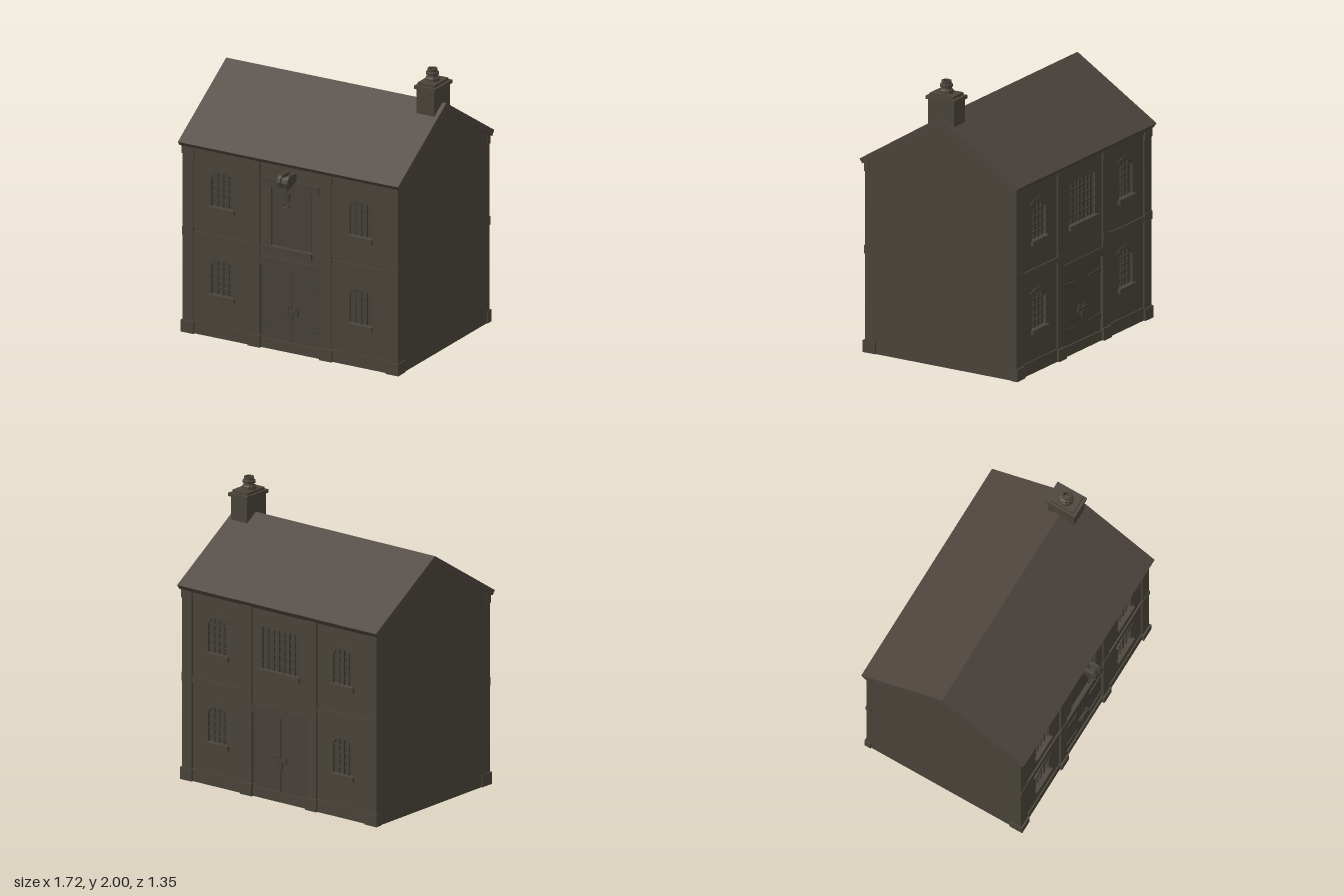
import * as THREE from 'three';

const mat = (name, color) => Object.assign(new THREE.MeshStandardMaterial({ color, flatShading: true }), { name });

export function createModel() {
  const wall = mat('wall stone', 0x4a443a);
  const roofMat = mat('roof slate', 0x4e453e);
  const wood = mat('wood', 0x48413a);
  const iron = mat('iron', 0x443f39);
  const glass = mat('glass', 0x46413a);
  const model = new THREE.Group();
  model.name = 'warehouse';

  const add = (parent, name, geo, material, x = 0, y = 0, z = 0) => {
    const m = new THREE.Mesh(geo, material);
    m.name = name;
    m.position.set(x, y, z);
    parent.add(m);
    return m;
  };
  // box given by its limits
  const box = (parent, name, material, x0, x1, y0, y1, z0, z1) =>
    add(parent, name, new THREE.BoxGeometry(x1 - x0, y1 - y0, z1 - z0), material, (x0 + x1) / 2, (y0 + y1) / 2, (z0 + z1) / 2);
  // side profile of [z, y] points drawn out along x
  const alongX = (name, pts, half, material) => {
    const s = new THREE.Shape(pts.map(([z, y]) => new THREE.Vector2(-z, y)));
    const g = new THREE.ExtrudeGeometry(s, { depth: 2 * half, bevelEnabled: false });
    g.rotateY(Math.PI / 2).translate(-half, 0, 0);
    return add(model, name, g, material);
  };

  // gabled body and roof
  alongX('body', [[0.53, 0], [0.53, 1.36], [-0.04, 1.73], [-0.605, 1.36], [-0.605, 0]], 0.842, wall);
  alongX('roof', [[0.6, 1.365], [-0.04, 1.765], [-0.672, 1.37], [-0.645, 1.335], [-0.04, 1.715], [0.575, 1.335]], 0.86, roofMat);

  // outline of a window with a low arched head
  const arch = (Type, w, y0, y1, rise) => {
    const p = new Type();
    p.moveTo(-w, y0);
    p.lineTo(w, y0);
    p.lineTo(w, y1 - rise);
    p.quadraticCurveTo(w * 0.75, y1, 0, y1);
    p.quadraticCurveTo(-w * 0.75, y1, -w, y1 - rise);
    p.closePath();
    return p;
  };
  const bars = (parent, w, y0, y1, nx, ny) => {
    for (let i = 1; i < nx; i++) {
      const x = -w + (2 * w * i) / nx;
      box(parent, 'windowBar', iron, x - 0.005, x + 0.005, y0, y1 - 0.01, 0.004, 0.016);
    }
    for (let j = 1; j < ny; j++) {
      const y = y0 + ((y1 - y0) * j) / ny;
      box(parent, 'windowBar', iron, -w, w, y - 0.005, y + 0.005, 0.004, 0.014);
    }
  };

  // one bay of wall with its two arched windows
  const sideBay = (parent, cx) => {
    const g = new THREE.Group();
    g.name = 'windowBay';
    g.position.x = cx;
    parent.add(g);
    const panel = new THREE.Shape([[-0.23, 0], [0.23, 0], [0.23, 1.36], [-0.23, 1.36]].map(p => new THREE.Vector2(...p)));
    for (const y of [0.3, 0.93]) {
      const top = y + 0.255;
      panel.holes.push(arch(THREE.Path, 0.085, y, top, 0.045));
      add(g, 'windowGlass', new THREE.ShapeGeometry(arch(THREE.Shape, 0.085, y, top, 0.045)), glass, 0, 0, 0.003);
      bars(g, 0.085, y, top, 4, 5);
      box(g, 'windowSill', wall, -0.1, 0.1, y - 0.03, y + 0.005, 0, 0.047);
      // brick arch over the window
      const band = new THREE.Shape();
      band.moveTo(-0.1, top - 0.025);
      band.quadraticCurveTo(0, top + 0.03, 0.1, top - 0.025);
      band.lineTo(0.11, top + 0.01);
      band.quadraticCurveTo(0, top + 0.07, -0.11, top + 0.01);
      add(g, 'windowArch', new THREE.ExtrudeGeometry(band, { depth: 0.006, bevelEnabled: false }), wall, 0, 0, 0.024);
    }
    add(g, 'wallPanel', new THREE.ExtrudeGeometry(panel, { depth: 0.025, bevelEnabled: false, curveSegments: 5 }), wall);
    box(g, 'skirting', wall, -0.225, 0.225, 0, 0.09, 0, 0.034);
    box(g, 'stringCourse', wall, -0.225, 0.225, 0.7, 0.735, 0, 0.036);
    box(g, 'cornice', wall, -0.225, 0.225, 1.31, 1.36, 0, 0.034);
  };

  // double doors with strap hinges and a lock
  const doors = parent => {
    box(parent, 'threshold', wall, -0.24, 0.24, 0, 0.07, 0, 0.03);
    for (const s of [-1, 1]) {
      box(parent, 'door', wood, Math.min(s * 0.003, s * 0.238), Math.max(s * 0.003, s * 0.238), 0.07, 0.59, 0, 0.018);
      for (const y of [0.18, 0.5]) {
        const strap = new THREE.Shape([[0.235, -0.014], [0.235, 0.014], [0.08, 0.004], [0.08, -0.004]].map(([x, v]) => new THREE.Vector2(s * x, v)));
        add(parent, 'strapHinge', new THREE.ExtrudeGeometry(strap, { depth: 0.008, bevelEnabled: false }), iron, 0, y, 0.017);
      }
      box(parent, 'doorHandle', iron, s * 0.035 - 0.012, s * 0.035 + 0.012, 0.265, 0.32, 0.017, 0.028);
    }
    box(parent, 'lockBar', iron, -0.055, 0.055, 0.283, 0.302, 0.018, 0.034);
    box(parent, 'padlock', iron, -0.015, 0.015, 0.235, 0.28, 0.018, 0.034);
    box(parent, 'doorLintel', wood, -0.24, 0.24, 0.595, 0.655, 0, 0.034);
  };

  const facade = (name, z, turn) => {
    const f = new THREE.Group();
    f.name = name;
    f.position.z = z;
    f.rotation.y = turn;
    model.add(f);
    for (const s of [-1, 1]) {
      sideBay(f, s * 0.54);
      // corner and inner pilasters with wider feet, bands and heads
      for (const [c, w] of [[0.8, 0.042], [0.28, 0.04]]) {
        const x = s * c;
        box(f, 'pilaster', wall, x - w, x + w, 0, 1.36, 0, 0.037);
        box(f, 'pilasterFoot', wall, x - w - 0.008, x + w + 0.008, 0, 0.085, c > 0.5 && !turn ? -0.05 : 0, 0.05);
        box(f, 'pilasterBand', wall, x - w - 0.002, x + w + 0.002, 0.695, 0.755, 0, 0.042);
        box(f, 'pilasterHead', wall, x - w - 0.004, x + w + 0.004, 1.28, 1.36, 0, 0.043);
      }
    }
    doors(f);
    box(f, 'centreCornice', wall, -0.24, 0.24, 1.31, 1.36, 0, 0.034);
    return f;
  };

  // front: loading hatch in the middle bay
  const front = facade('frontWall', 0.53, 0);
  const rim = (parent, y0, y1, w) => {
    const s = new THREE.Shape([[-0.24, 0.655], [0.24, 0.655], [0.24, 1.36], [-0.24, 1.36]].map(p => new THREE.Vector2(...p)));
    s.holes.push(new THREE.Path([[-w, y0], [-w, y1], [w, y1], [w, y0]].map(p => new THREE.Vector2(...p))));
    add(parent, 'centrePanel', new THREE.ExtrudeGeometry(s, { depth: 0.025, bevelEnabled: false }), wall);
  };
  rim(front, 0.73, 1.17, 0.16);
  box(front, 'hatchDoor', wood, -0.145, 0.145, 0.745, 1.155, 0, 0.012);
  box(front, 'hatchLintel', wood, -0.215, 0.22, 1.165, 1.23, 0, 0.036);
  box(front, 'hatchSill', wood, -0.235, 0.165, 0.695, 0.74, 0, 0.042);

  // hoist: two cheeks, pulley wheel, chain and hook
  const hoist = new THREE.Group();
  hoist.name = 'hoist';
  front.add(hoist);
  for (const s of [-1, 1]) {
    box(hoist, 'hoistArm', wood, s * 0.028 - 0.014, s * 0.028 + 0.014, 1.235, 1.3, 0, 0.09);
    const cheek = add(hoist, 'hoistCheek', new THREE.CylinderGeometry(0.045, 0.045, 0.026, 10), wood, s * 0.028, 1.255, 0.105);
    cheek.rotation.z = Math.PI / 2;
  }
  const wheel = add(hoist, 'pulley', new THREE.CylinderGeometry(0.035, 0.035, 0.032, 10), iron, 0, 1.25, 0.1);
  wheel.rotation.z = Math.PI / 2;
  box(hoist, 'chain', iron, -0.007, 0.007, 1.1, 1.24, 0.07, 0.084);
  box(hoist, 'hookBlock', iron, -0.018, 0.018, 1.11, 1.16, 0.063, 0.09);
  const hook = add(hoist, 'hook', new THREE.TorusGeometry(0.024, 0.007, 5, 10, Math.PI * 1.5), iron, -0.012, 1.077, 0.077);
  hook.rotation.z = Math.PI;

  // back: wide barred window in the middle bay
  const back = facade('backWall', -0.605, Math.PI);
  rim(back, 0.91, 1.21, 0.16);
  box(back, 'wideWindowGlass', glass, -0.16, 0.16, 0.91, 1.21, 0, 0.004);
  bars(back, 0.16, 0.91, 1.21, 7, 5);
  box(back, 'wideWindowSill', wall, -0.175, 0.175, 0.88, 0.912, 0, 0.045);

  // chimney with stepped cap and pot
  const chimney = new THREE.Group();
  chimney.name = 'chimney';
  model.add(chimney);
  box(chimney, 'chimneyStack', wall, 0.69, 0.83, 1.66, 1.88, -0.135, 0.07);
  box(chimney, 'chimneyCap', wall, 0.68, 0.842, 1.872, 1.896, -0.148, 0.082);
  box(chimney, 'chimneyTop', wall, 0.695, 0.825, 1.896, 1.915, -0.125, 0.06);
  const pot = [[0.052, 1.91], [0.048, 1.935], [0.036, 1.945], [0.034, 1.955], [0.045, 1.958], [0.045, 1.975], [0.035, 1.98], [0.035, 2], [0.022, 2], [0.022, 1.94], [0, 1.94]];
  add(chimney, 'chimneyPot', new THREE.LatheGeometry(pot.map(p => new THREE.Vector2(...p)), 10), wall, 0.757, 0, -0.03);
  return model;
}
